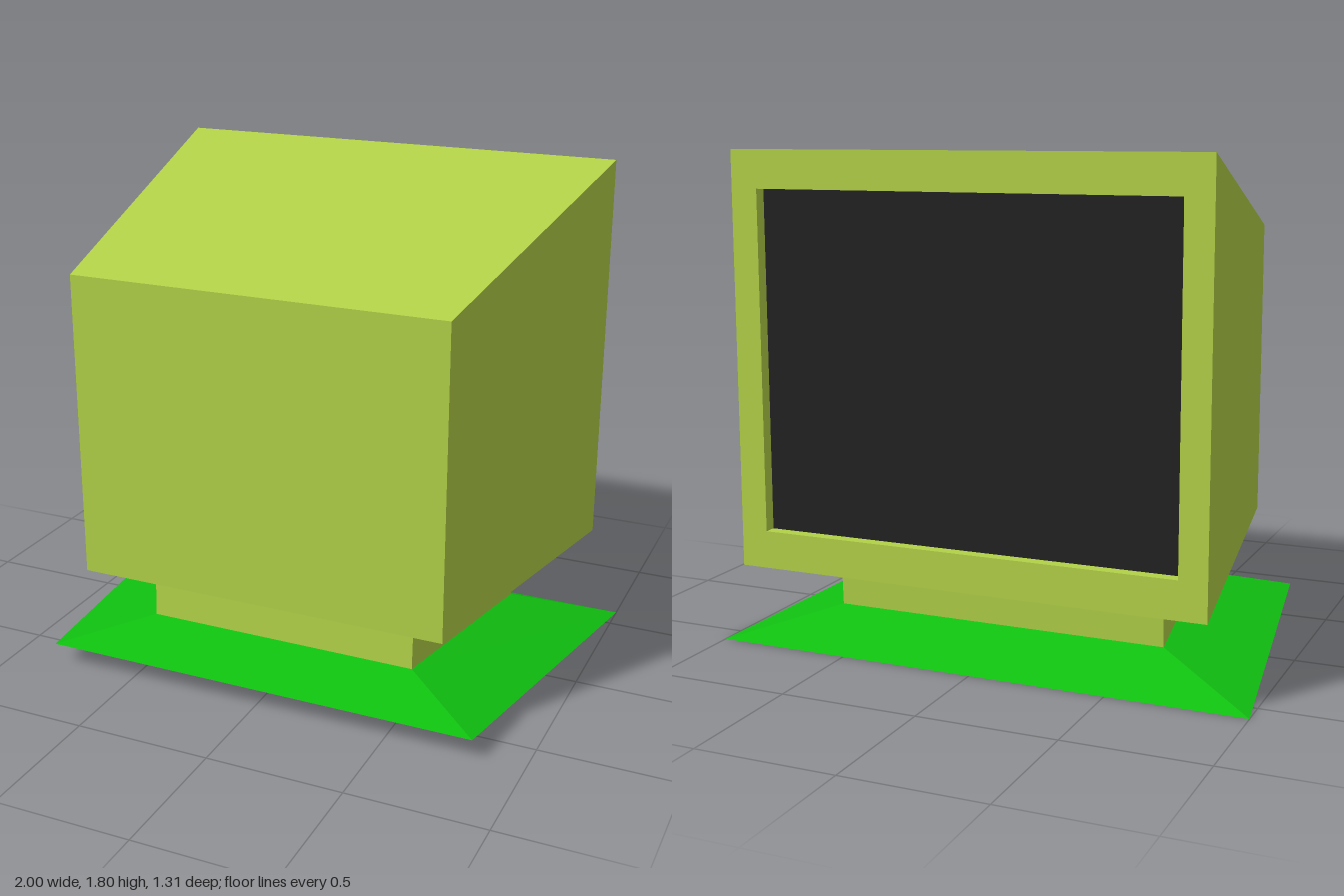
import * as THREE from 'three';

const casing = new THREE.MeshStandardMaterial({ color: 0xb2d148 });
const green = new THREE.MeshStandardMaterial({ color: 0x10c010 });
const glass = new THREE.MeshStandardMaterial({ color: 0x212121 });
casing.name = 'casing lime';
green.name = 'base green';
glass.name = 'screen black';

// Upright four-corner ring at depth z, counter-clockwise from the front
const upright = (x, y0, y1, z) => [[-x, y0, z], [x, y0, z], [x, y1, z], [-x, y1, z]];

// Lying four-corner ring, given half width, height and depth at its front and back
const lying = (xf, yf, zf, xb, yb, zb) => [[-xf, yf, zf], [xf, yf, zf], [xb, yb, zb], [-xb, yb, zb]];

// Flat-faced skin through consecutive rings, with optional end caps
function loft(name, material, rings, capStart, capEnd) {
  const positions = [];
  const quad = (a, b, c, d) => positions.push(...a, ...b, ...c, ...a, ...c, ...d);
  if (capStart) quad(...rings[0]);
  for (let r = 0; r < rings.length - 1; r++) {
    const a = rings[r], b = rings[r + 1];
    for (let i = 0; i < 4; i++) {
      const j = (i + 1) % 4;
      quad(a[i], b[i], b[j], a[j]);
    }
  }
  if (capEnd) quad(...[...rings[rings.length - 1]].reverse());
  const geometry = new THREE.BufferGeometry();
  geometry.setAttribute('position', new THREE.Float32BufferAttribute(positions, 3));
  geometry.computeVertexNormals();
  const mesh = new THREE.Mesh(geometry, material);
  mesh.name = name;
  return mesh;
}

export function createModel() {
  const model = new THREE.Group();
  model.name = 'monitor';

  // Tapered casing, then the bezel and the recess walls on its wide side
  const recess = upright(0.77, 0.45, 1.665, -0.61);
  model.add(loft('casing', casing, [
    upright(0.69, 0.39, 1.505, 0.61),
    upright(0.87, 0.315, 1.8, -0.655),
    upright(0.77, 0.45, 1.665, -0.655),
    recess,
  ], true, false));

  // Sunken screen closing the recess
  model.add(loft('screen', glass, [recess], false, true));

  // Neck and sloping foot share the same outline
  const neckFoot = lying(0.515, 0.16, 0.425, 0.63, 0.115, -0.365);
  model.add(loft('neck', casing, [
    lying(0.515, 0.378, 0.415, 0.63, 0.331, -0.375),
    neckFoot,
  ], true, true));
  model.add(loft('base', green, [
    neckFoot,
    lying(0.82, 0.08, 0.655, 1, 0, -0.6),
  ], true, true));

  return model;
}
